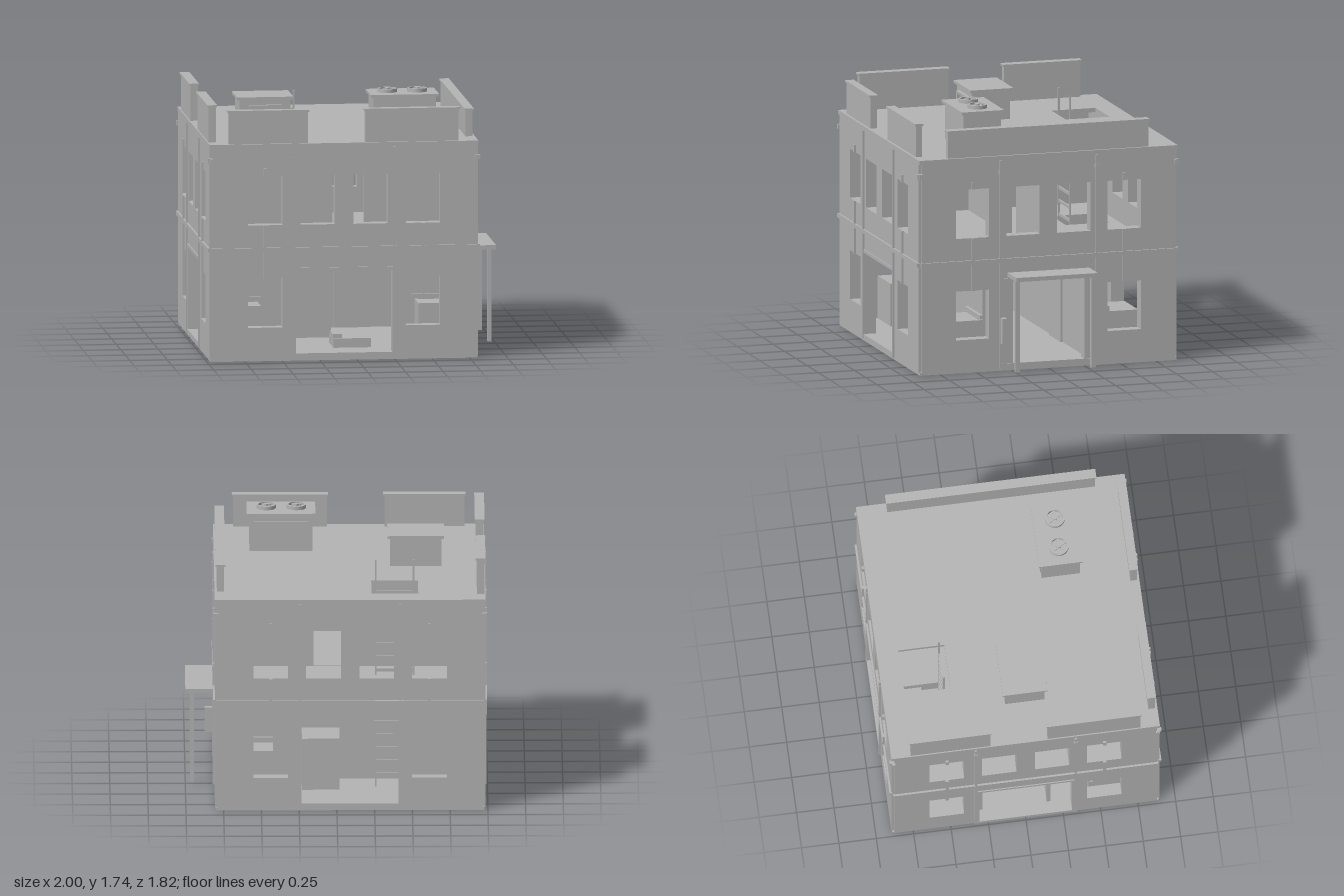
import * as THREE from 'three';

export function createModel() {
  const model = new THREE.Group();
  const grey = new THREE.MeshStandardMaterial({ color: 0xb3b3b3 });
  grey.name = 'plainGrey';
  const CX = -0.0875; // centre of the building body in x

  function add(parent, name, geometry) {
    const mesh = new THREE.Mesh(geometry, grey);
    mesh.name = name;
    parent.add(mesh);
    return mesh;
  }
  // box given by its limits on each axis
  function box(parent, name, x0, x1, y0, y1, z0, z1) {
    const g = new THREE.BoxGeometry(x1 - x0, y1 - y0, z1 - z0);
    g.translate((x0 + x1) / 2, (y0 + y1) / 2, (z0 + z1) / 2);
    return add(parent, name, g);
  }
  function rect(path, x0, x1, y0, y1) {
    path.moveTo(x0, y0);
    path.lineTo(x1, y0);
    path.lineTo(x1, y1);
    path.lineTo(x0, y1);
    path.closePath();
    return path;
  }
  // plate with rectangular holes, extruded towards +z
  function plate(outer, holes, depth) {
    const shape = rect(new THREE.Shape(), ...outer);
    holes.forEach(h => shape.holes.push(rect(new THREE.Path(), ...h)));
    return new THREE.ExtrudeGeometry(shape, { depth, bevelEnabled: false });
  }

  // ---- four facades, each built facing +z and turned into place ----
  const windowCentres = [-0.526, -0.176, 0.176, 0.526];
  function facade(name, turn, doorHalf) {
    const side = new THREE.Group();
    side.name = name;
    const holes = windowCentres.map(c => [c - 0.115, c + 0.115, 0.91, 1.24]);
    [-0.526, 0.526].forEach(c => holes.push([c - 0.115, c + 0.115, 0.225, 0.555]));
    holes.push([-doorHalf, doorHalf, 0.05, 0.6]);
    const wall = plate([-0.877, 0.877, 0.015, 1.43], holes, 0.08);
    wall.translate(0, 0, 0.815);
    add(side, 'wall', wall);

    // string course and pilasters with their clamps
    box(side, 'stringCourse', -0.885, 0.885, 0.732, 0.76, 0.89, 0.908);
    for (const s of [-1, 1]) {
      const p = s * 0.333;
      box(side, 'pilaster', p - 0.008, p + 0.008, 0.02, 1.425, 0.89, 0.907);
      box(side, 'pilasterClamp', p - 0.012, p + 0.012, 1.33, 1.36, 0.89, 0.91);
      const e = s * 0.882;
      box(side, 'cornerClamp', e - 0.012, e + 0.012, 1.33, 1.36, 0.87, 0.908);
      // flat pipes above and below the outer windows
      const w = s * 0.526;
      box(side, 'windowPipe', w - 0.011, w + 0.011, 0.555, 0.91, 0.89, 0.908);
      box(side, 'windowPipeTop', w - 0.011, w + 0.011, 1.24, 1.29, 0.89, 0.908);
      // jambs of the entrance
      const j = s * (doorHalf + 0.007);
      box(side, 'doorJamb', j - 0.008, j + 0.008, 0.03, 0.61, 0.83, 0.901);
    }
    box(side, 'doorLintel', -0.333, 0.333, 0.6, 0.622, 0.83, 0.902);
    box(side, 'threshold', -0.333, 0.333, 0.015, 0.05, 0.82, 0.902);
    side.rotation.y = turn;
    side.position.x = CX;
    model.add(side);
  }
  facade('frontFacade', 0, 0.322);
  facade('leftFacade', Math.PI / 2, 0.25);
  facade('backFacade', Math.PI, 0.322);
  facade('rightFacade', -Math.PI / 2, 0.31);

  // ---- slabs ----
  box(model, 'baseSlab', CX - 0.89, CX + 0.89, 0, 0.02, -0.89, 0.89);
  box(model, 'groundFloor', CX - 0.82, CX + 0.82, 0.02, 0.048, -0.82, 0.82);
  function hatchedSlab(name, half, y, thickness) {
    // shape y becomes -z
    const g = plate([CX - half, CX + half, -half, half], [[-0.54, -0.23, 0.445, 0.75]], thickness);
    g.rotateX(-Math.PI / 2);
    g.translate(0, y, 0);
    add(model, name, g);
  }
  hatchedSlab('upperFloor', 0.82, 0.69, 0.05);
  hatchedSlab('roofSlab', 0.897, 1.425, 0.028);

  // ---- inner partitions ----
  const upper = plate([CX - 0.82, CX + 0.82, 0.74, 1.425], [[-0.06, 0.15, 0.745, 1.22]], 0.04);
  upper.translate(0, 0, -0.02);
  add(model, 'upperPartition', upper);
  box(model, 'groundPartition', CX - 0.82, -0.09, 0.048, 0.69, 0.15, 0.176);
  box(model, 'rearPartition', CX - 0.82, CX + 0.82, 0.048, 0.69, -0.31, -0.28);

  // ---- ladder through the hatches ----
  const ladder = new THREE.Group();
  ladder.name = 'ladder';
  model.add(ladder);
  for (const x of [-0.51, -0.26]) box(ladder, 'ladderRail', x - 0.006, x + 0.006, 0.048, 1.61, -0.491, -0.479);
  for (let y = 0.12; y < 1.42; y += 0.09) box(ladder, 'ladderRung', -0.51, -0.26, y, y + 0.02, -0.49, -0.48);

  // ---- furniture ----
  for (const s of [-1, 1]) {
    const a = CX + s * 0.815, b = CX + s * 0.525;
    const [x0, x1] = [Math.min(a, b), Math.max(a, b)];
    box(model, 'bench', x0, x1, 0.048, 0.335, 0.43, 0.65);
    box(model, 'benchBack', x0 - 0.02, x1 + 0.02, 0.345, 0.37, 0.435, 0.457);
    box(model, 'benchBackPost', x0 + 0.02, x1 - 0.02, 0.33, 0.35, 0.437, 0.455);
  }
  box(model, 'rearBench', 0.42, 0.72, 0.048, 0.34, -0.65, -0.415);
  box(model, 'rearBenchBack', 0.42, 0.72, 0.34, 0.375, -0.45, -0.43);
  box(model, 'rearCabinet', -0.02, 0.23, 0.048, 0.4, -0.57, -0.31);
  box(model, 'innerDoor', -0.02, 0.23, 0.048, 0.49, -0.28, -0.265);
  box(model, 'lowBed', -0.13, 0.12, 0.048, 0.11, 0.42, 0.66);
  box(model, 'pillow', -0.13, -0.07, 0.11, 0.135, 0.45, 0.63);

  // ---- side canopy and wall box ----
  box(model, 'canopyRoof', 0.8, 1.0, 0.634, 0.662, -0.283, 0.283);
  for (const s of [-1, 1]) {
    const z = s * 0.263;
    box(model, 'canopyPost', 0.943, 0.969, 0.018, 0.636, z - 0.016, z + 0.016);
  }
  box(model, 'wallBox', 0.8, 0.868, 0.19, 0.362, 0.305, 0.337);

  // ---- parapets with caps ----
  function parapet(name, x0, x1, z0, z1, top) {
    const e = 0.008;
    box(model, name, x0 + e, x1 - e, 1.45, top - 0.014, z0 + e, z1 - e);
    box(model, name + 'Cap', x0, x1, top - 0.014, top, z0, z1);
  }
  parapet('rightRearParapet', -0.985, -0.92, -0.775, -0.228, 1.702);
  parapet('rightFrontParapet', -0.985, -0.92, 0.14, 0.775, 1.702);
  parapet('leftParapet', 0.738, 0.802, -0.705, 0.7, 1.64);
  parapet('frontParapetA', -0.863, -0.318, 0.828, 0.888, 1.677);
  parapet('frontParapetB', 0.048, 0.685, 0.828, 0.888, 1.677);

  // ---- roof huts ----
  function hut(name, x0, x1, z0, z1, top) {
    const e = 0.018;
    box(model, name, x0 + e, x1 - e, 1.45, top - 0.018, z0 + e, z1 - e);
    box(model, name + 'Cap', x0, x1, top - 0.018, top, z0, z1);
  }
  hut('roofHut', -0.715, -0.34, -0.118, 0.182, 1.664);
  // framed door of the hut
  const frame = plate([-0.635, -0.42, 1.465, 1.61], [[-0.615, -0.44, 1.48, 1.595]], 0.025);
  frame.translate(0, 0, 0.163);
  add(model, 'hutDoorFrame', frame);

  hut('coolingUnit', 0.135, 0.59, 0.238, 0.532, 1.716);
  box(model, 'coolingPanel', 0.18, 0.545, 1.49, 1.66, 0.25, 0.257);
  // fans: ring, hub and blades
  for (const x of [0.26, 0.46]) {
    const fan = new THREE.Group();
    fan.name = 'roofFan';
    fan.position.set(x, 1.716, 0.385);
    model.add(fan);
    const ring = new THREE.Shape().absarc(0, 0, 0.065, 0, Math.PI * 2);
    ring.holes.push(new THREE.Path().absarc(0, 0, 0.053, 0, Math.PI * 2, true));
    const ringGeo = new THREE.ExtrudeGeometry(ring, { depth: 0.024, bevelEnabled: false, curveSegments: 24 });
    ringGeo.rotateX(-Math.PI / 2);
    add(fan, 'fanRing', ringGeo);
    add(fan, 'fanHub', new THREE.CylinderGeometry(0.016, 0.016, 0.028, 16)).position.y = 0.014;
    for (let i = 0; i < 3; i++) {
      box(fan, 'fanBlade', -0.054, 0.054, 0.01, 0.016, -0.009, 0.009).rotation.y = i * Math.PI / 3;
    }
  }

  return model;
}
